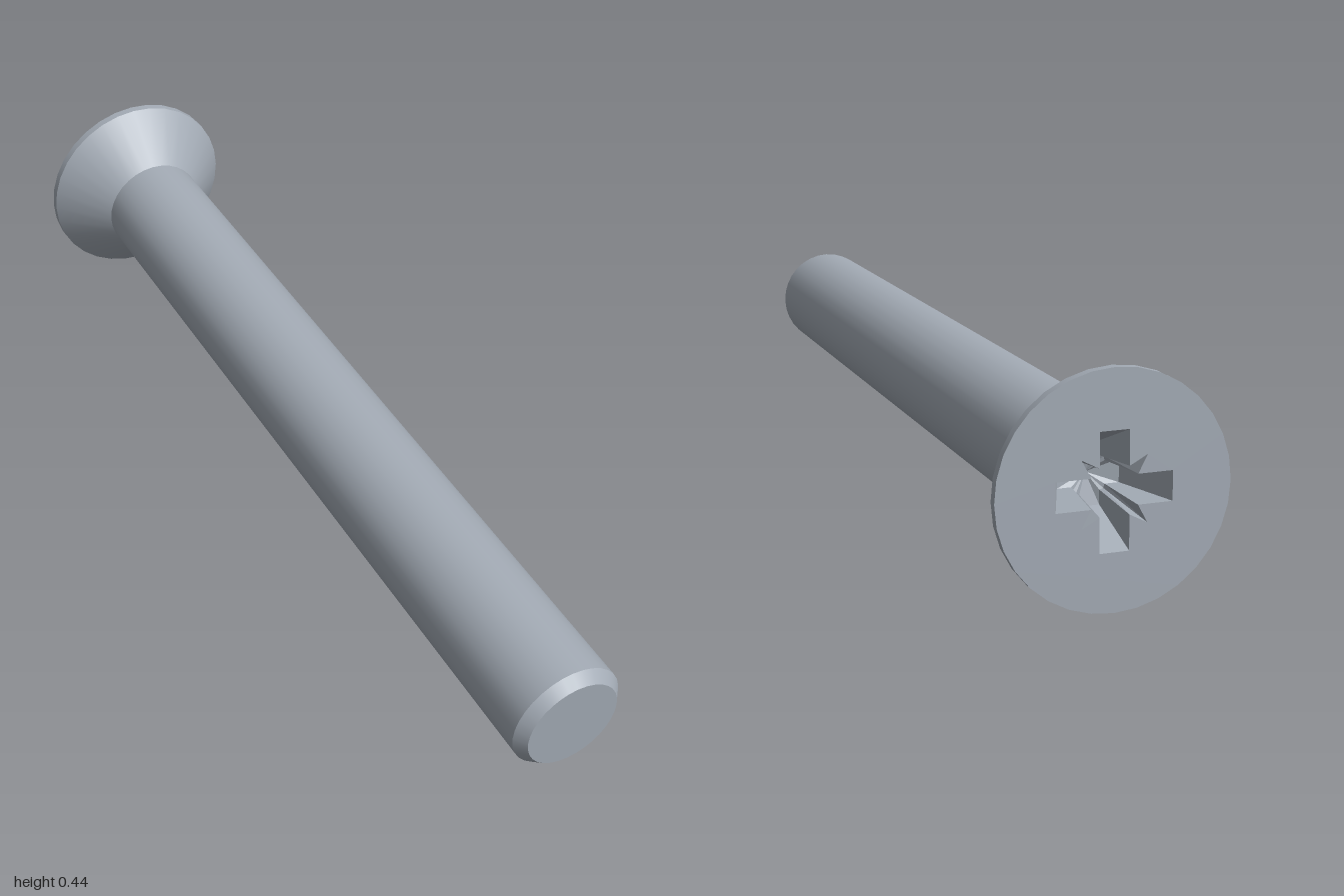
import * as THREE from 'three';

const SEG = 32;
const LENGTH = 1.977, HEAD_R = 0.222, SHANK_R = 0.118, TIP_R = 0.099;
const RIM = 0.018, HEAD_DEPTH = 0.122, CHAMFER = 0.023;

// Cross outline with a small diagonal notch in each corner, counter-clockwise
function crossOutline(reach, half, core, notch) {
  const points = [];
  const quarter = [[reach, -half], [reach, half], [core, half], [notch, notch], [half, core]];
  for (let i = 0; i < 4; i++) {
    for (const [x, y] of quarter) {
      points.push(new THREE.Vector2(x, y).rotateAround(new THREE.Vector2(), i * Math.PI / 2));
    }
  }
  return points;
}

// Tapering recess walls and a shallow pointed floor
function recessGeometry(top, bottom, depth, point) {
  const at = (p, y) => [p.x, y, -p.y];
  const pos = [];
  top.forEach((p, i) => {
    const j = (i + 1) % top.length;
    const a = at(p, 0), b = at(top[j], 0);
    const c = at(bottom[j], -depth), d = at(bottom[i], -depth);
    pos.push(...a, ...b, ...c, ...a, ...c, ...d, ...d, ...c, 0, -point, 0);
  });
  const g = new THREE.BufferGeometry();
  g.setAttribute('position', new THREE.Float32BufferAttribute(pos, 3));
  g.computeVertexNormals();
  return g;
}

export function createModel() {
  const steel = new THREE.MeshStandardMaterial({ color: 0xa3abb5 });
  steel.name = 'steel';
  const model = new THREE.Group();
  model.name = 'countersunkScrew';

  const add = (name, geometry) => {
    const mesh = new THREE.Mesh(geometry, steel);
    mesh.name = name;
    model.add(mesh);
    return mesh;
  };
  // Open round section between two depths below the head face
  const section = (name, rTop, rBottom, from, to) => {
    add(name, new THREE.CylinderGeometry(rTop, rBottom, to - from, SEG, 1, true)).position.y = -(from + to) / 2;
  };

  // Head, shank and chamfered tip
  section('headRim', HEAD_R, HEAD_R, 0, RIM);
  section('headCone', HEAD_R, SHANK_R, RIM, HEAD_DEPTH);
  section('shank', SHANK_R, SHANK_R, HEAD_DEPTH, LENGTH - CHAMFER);
  section('tipChamfer', SHANK_R, TIP_R, LENGTH - CHAMFER, LENGTH);
  const tip = add('tipFace', new THREE.CircleGeometry(TIP_R, SEG).rotateX(Math.PI / 2));
  tip.position.y = -LENGTH;

  // Head face with the cross recess cut into it
  const mouth = crossOutline(0.11, 0.028, 0.044, 0.062);
  const base = crossOutline(0.06, 0.022, 0.032, 0.03);
  const disc = new THREE.Shape().absarc(0, 0, HEAD_R, 0, Math.PI * 2, false);
  disc.holes.push(new THREE.Path(mouth));
  add('headFace', new THREE.ShapeGeometry(disc, SEG / 2).rotateX(-Math.PI / 2));
  add('crossRecess', recessGeometry(mouth, base, 0.12, 0.135));

  // Lay the screw down, resting on head rim and tip
  const axis = new THREE.Vector3(-0.977, 0.053, -0.207).normalize();
  const side = new THREE.Vector3(0, 1, 0).cross(axis).normalize();
  const third = side.clone().cross(axis);
  model.quaternion.setFromRotationMatrix(new THREE.Matrix4().makeBasis(side, axis, third));
  model.position.set(-0.9525, 0.222, -0.152);

  const root = new THREE.Group();
  root.name = 'screw';
  root.add(model);
  return root;
}
